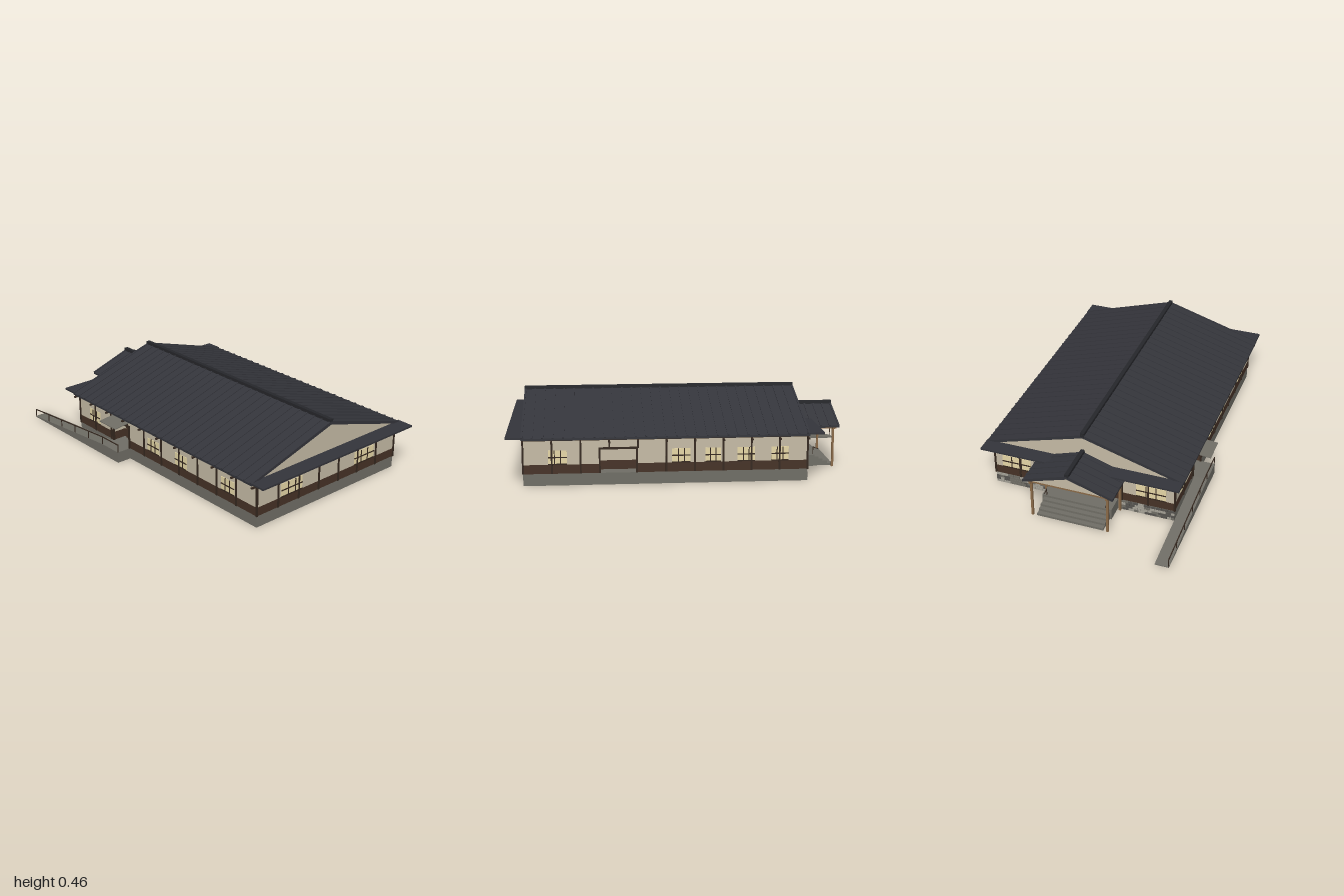
import * as THREE from 'three';

const mat = (name, color) => {
  const m = new THREE.MeshStandardMaterial({ color });
  m.name = name;
  return m;
};
const M = {
  roof: mat('roofSlate', 0x34353b), ridge: mat('ridgeDark', 0x26272b), plaster: mat('plaster', 0xc6bca6),
  band: mat('brownBoards', 0x463226), timber: mat('darkTimber', 0x35281f), stone: mat('stone', 0x706e66),
  glass: mat('paleWindow', 0xe8d9a8), wood: mat('lightWood', 0x8a6a48), pale: mat('paleStone', 0xa5a196),
  grey: mat('greyStone', 0x565450),
};

// House footprint and shared heights
const X0 = -0.5, X1 = 0.555, Z0 = -0.63, Z1 = 0.91, CX = 0.027;
const BASE = 0.065, BAND = 0.115, DOOR = 0.2, TOP = 0.258, T = 0.08;

export function createModel() {
  const root = new THREE.Group();
  const add = (geo, m, name, parent = root) => {
    const mesh = new THREE.Mesh(geo, m);
    mesh.name = name;
    parent.add(mesh);
    return mesh;
  };
  // Box given by its limits on each axis
  const box = (x0, x1, y0, y1, z0, z1, m, name, parent) => {
    const mesh = add(new THREE.BoxGeometry(x1 - x0, y1 - y0, z1 - z0), m, name, parent);
    mesh.position.set((x0 + x1) / 2, (y0 + y1) / 2, (z0 + z1) / 2);
    return mesh;
  };
  // Thin bar between two points
  const bar = (a, b, w, m, name) => {
    const p = new THREE.Vector3(...a), q = new THREE.Vector3(...b);
    const mesh = add(new THREE.BoxGeometry(w, w, p.distanceTo(q)), m, name);
    mesh.position.copy(p).add(q).multiplyScalar(0.5);
    mesh.lookAt(q);
  };
  const prism = (pts, z0, z1, m, name) => {
    const shape = new THREE.Shape(pts.map(([x, y]) => new THREE.Vector2(x, y)));
    const geo = new THREE.ExtrudeGeometry(shape, { depth: z1 - z0, bevelEnabled: false });
    return add(geo.translate(0, 0, z0), m, name);
  };
  // Box on one wall: u runs along it, d0..d1 is the distance outwards
  const onWall = (side, u0, u1, y0, y1, d0, d1, m, name) => {
    if (side === 'front') return box(u0, u1, y0, y1, Z1 + d0, Z1 + d1, m, name);
    if (side === 'back') return box(u0, u1, y0, y1, Z0 - d1, Z0 - d0, m, name);
    if (side === 'left') return box(X1 + d0, X1 + d1, y0, y1, u0, u1, m, name);
    return box(X0 - d1, X0 - d0, y0, y1, u0, u1, m, name);
  };

  // Foundation, core and walls with recessed doorways
  box(X0, X1, 0, BASE, Z0, Z1, M.stone, 'foundation');
  box(X0 + T, X1 - T, BASE, BAND, Z0 + T, Z1 - T, M.band, 'innerBand');
  box(X0 + T, X1 - T, BAND, DOOR, Z0 + T, Z1 - T, M.plaster, 'innerWall');
  box(X0, X1, DOOR, TOP, Z0, Z1, M.plaster, 'upperWall');
  const spans = {
    front: [[X0, X1]], back: [[X0, -0.1], [0.155, X1]],
    left: [[Z0 + T, 0.3], [0.5, Z1 - T]], right: [[Z0 + T, -0.3], [-0.15, Z1 - T]],
  };
  for (const side in spans) for (const [a, b] of spans[side]) {
    onWall(side, a, b, BASE, BAND, -T, 0, M.band, 'boardBand');
    onWall(side, a, b, BAND, DOOR, -T, 0, M.plaster, 'wall');
  }

  // Doorways: frame, dark ceiling and door leaf
  for (const [side, a, b] of [['left', 0.3, 0.5], ['right', -0.3, -0.15], ['back', -0.1, 0.155]]) {
    onWall(side, a - 0.005, b + 0.005, DOOR - 0.005, DOOR + 0.006, -0.004, 0.007, M.timber, 'lintel');
    onWall(side, a, b, DOOR - 0.004, DOOR, -T, 0, M.timber, 'doorwayCeiling');
    for (const u of [a, b]) onWall(side, u - 0.005, u + 0.005, BASE, DOOR, -0.004, 0.007, M.timber, 'doorJamb');
    if (side !== 'left') onWall(side, a + 0.02, b - 0.02, BASE, DOOR - 0.02, -T, -T + 0.006, M.band, 'door');
  }

  // Wall posts, top beam and rafter ends
  const inDoor = { left: [0.3, 0.5], right: [-0.3, -0.15], back: [-0.1, 0.155], front: [9, 9] };
  for (const side in spans) {
    const across = side === 'front' || side === 'back';
    const [a, b, n] = across ? [X0, X1, 7] : [Z0, Z1, 10];
    onWall(side, a - 0.006, b + 0.006, 0.246, 0.26, -0.005, 0.006, M.timber, 'topBeam');
    for (let i = 0; i <= n; i++) {
      const u = a + (b - a) * i / n, [d0, d1] = inDoor[side];
      const low = u > d0 - 0.01 && u < d1 + 0.01 ? DOOR : BASE;
      onWall(side, u - 0.005, u + 0.005, low, 0.25, -0.005, 0.005, M.timber, 'post');
      if (!across) onWall(side, u - 0.005, u + 0.005, 0.236, 0.245, 0, 0.04, M.timber, 'rafterEnd');
    }
  }

  // Windows with glazing bars
  const windows = {
    front: [[-0.33, -0.175], [0.23, 0.385]], back: [[-0.45, -0.28], [0.34, 0.51]],
    left: [[0.675, 0.775], [0.01, 0.11], [-0.155, -0.07], [-0.34, -0.245], [-0.525, -0.43]],
    right: [[-0.53, -0.43], [0.02, 0.12], [0.26, 0.36], [0.64, 0.74]],
  };
  for (const side in windows) for (const [a, b] of windows[side]) {
    onWall(side, a, b, BAND, 0.193, -0.004, 0.003, M.glass, 'windowPane');
    for (const y of [BAND + 0.003, 0.155]) onWall(side, a, b, y - 0.003, y + 0.003, 0, 0.006, M.timber, 'windowRail');
    for (const t of [1 / 3, 2 / 3]) {
      const u = a + (b - a) * t;
      onWall(side, u - 0.0025, u + 0.0025, BAND, 0.193, 0, 0.006, M.timber, 'windowBar');
    }
  }

  // Ribbed gable roof with ridge cap and plaster gables
  const gableRoof = (name, half, eave, ridge, z0, z1, gz0, gz1, gBase) => {
    const t = 0.016, rise = ridge - eave, slope = Math.atan2(rise, half), len = Math.hypot(half, rise);
    prism([[CX - half, eave], [CX - half, eave - t * 0.7], [CX, ridge - t], [CX + half, eave - t * 0.7],
      [CX + half, eave], [CX, ridge]], z0, z1, M.roof, name);
    const w = half * (ridge - t - gBase) / rise;
    prism([[CX - w, gBase], [CX + w, gBase], [CX, ridge - t]], gz0, gz1, M.plaster, name + 'Gable');
    box(CX - 0.011, CX + 0.011, ridge - 0.01, ridge + 0.015, z0, z1, M.ridge, name + 'Ridge');
    const n = Math.round((z1 - z0) / 0.056);
    for (const s of [-1, 1]) for (let i = 0; i <= n; i++) {
      const rib = add(new THREE.BoxGeometry(len, 0.006, 0.01), M.roof, name + 'Rib');
      rib.position.set(CX + s * half / 2, (eave + ridge) / 2 + 0.001, z0 + 0.005 + (z1 - z0 - 0.01) * i / n);
      rib.rotation.z = -s * slope;
    }
  };
  gableRoof('mainRoof', 0.572, 0.268, 0.441, -0.635, 0.917, Z0 + 0.003, Z1 - 0.003, TOP);
  gableRoof('porchRoof', 0.257, 0.245, 0.331, -0.865, -0.6, -0.85, -0.62, 0.24);
  for (const [a, b] of [[0.9, 1], [-0.715, -0.62]])
    box(CX - 0.572, CX + 0.572, 0.264, 0.274, a, b, M.roof, 'gableSkirtRoof');
  box(X0, X1, 0.257, 0.265, Z0, Z1, M.timber, 'wallPlate');

  // Porch frame
  for (const x of [-0.19, 0.245]) {
    for (const z of [-0.835, -0.642]) box(x - 0.006, x + 0.006, 0, 0.24, z - 0.006, z + 0.006, M.wood, 'porchPost');
    box(x - 0.006, x + 0.006, 0.222, 0.238, -0.855, Z0, M.wood, 'porchSideBeam');
  }
  box(-0.215, 0.27, 0.224, 0.24, -0.843, -0.829, M.wood, 'porchFrontBeam');
  box(-0.2, 0.255, 0.238, 0.242, -0.84, Z0, M.timber, 'porchCeiling');

  // Landing, steps and their handrails
  box(-0.175, 0.23, 0, BASE, -0.735, Z0, M.stone, 'porchLanding');
  for (let i = 0; i < 4; i++)
    box(-0.165, 0.22, 0, 0.052 - i * 0.013, -0.76 - i * 0.026, -0.734 - i * 0.026, M.stone, 'step');
  for (const x of [-0.15, 0.205]) {
    bar([x, 0.105, -0.73], [x, 0.095, -0.76], 0.004, M.timber, 'stepRail');
    box(x - 0.002, x + 0.002, BASE, 0.105, -0.732, -0.728, M.timber, 'stepRailPost');
  }

  // Ramp, side landing, railing and awning
  const ramp = prism([[0.3, 0], [1, 0], [1, 0.005], [0.3, BASE]], -0.587, -0.51, M.stone, 'ramp');
  ramp.geometry.rotateY(Math.PI / 2);
  box(-0.587, X0, 0, BASE, -0.3, -0.15, M.stone, 'sideLanding');
  const RX = -0.584;
  bar([RX, 0.11, -0.3], [RX, 0.05, -0.997], 0.005, M.timber, 'rampRail');
  bar([RX, 0.11, -0.3], [RX, 0.11, -0.15], 0.005, M.timber, 'landingRail');
  for (let i = 0; i <= 5; i++) {
    const t = i / 5, z = -0.3 - 0.697 * t, y = BASE - 0.06 * t;
    box(RX - 0.002, RX + 0.002, y - 0.004, y + 0.045, z - 0.002, z + 0.002, M.timber, 'rampRailPost');
  }
  box(RX - 0.002, RX + 0.002, BASE, 0.11, -0.154, -0.15, M.timber, 'landingRailPost');
  const awning = box(-0.6, -0.498, 0.218, 0.222, -0.3, -0.15, M.stone, 'awning');
  awning.rotation.z = 0.1;

  // Rubble facing on the back foundation
  let seed = 7;
  const rnd = () => (seed = (seed * 16807) % 2147483647) / 2147483647;
  for (const [a, b] of [[X0, -0.18], [0.235, X1]]) for (let r = 0; r < 4; r++) {
    for (let x = a; x < b - 0.01;) {
      const w = Math.min(0.018 + rnd() * 0.022, b - x), k = rnd();
      const m = k < 0.35 ? M.pale : k < 0.7 ? M.grey : M.stone;
      onWall('back', x + 0.001, x + w - 0.001, r * 0.016 + 0.001, r * 0.016 + 0.015, 0, 0.003, m, 'rubbleStone');
      x += w;
    }
  }
  return root;
}
